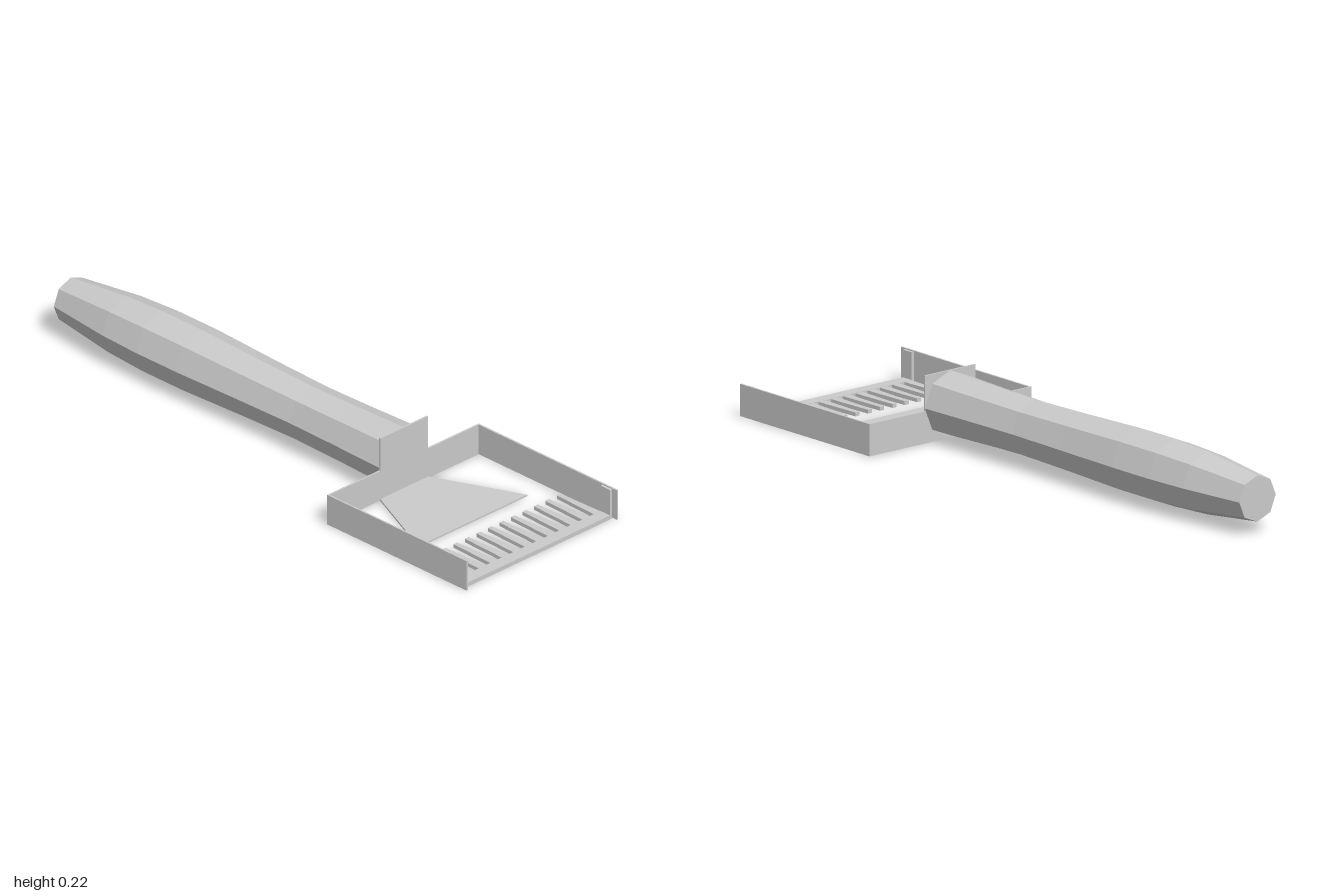
import * as THREE from 'three';

const grey = new THREE.MeshStandardMaterial({ color: 0xcccccc, flatShading: true });

export function createModel() {
  const group = new THREE.Group();
  const add = (name, geometry) => {
    const mesh = new THREE.Mesh(geometry, grey);
    mesh.name = name;
    group.add(mesh);
    return mesh;
  };
  const box = (name, x0, x1, y0, y1, z0, z1) =>
    add(name, new THREE.BoxGeometry(x1 - x0, y1 - y0, z1 - z0))
      .position.set((x0 + x1) / 2, (y0 + y1) / 2, (z0 + z1) / 2);
  const shape = (pts) => new THREE.Shape(pts.map(([x, y]) => new THREE.Vector2(x, y)));
  const extrude = (pts, depth) =>
    new THREE.ExtrudeGeometry(shape(pts), { depth, bevelEnabled: false });
  // flat plate outlined in (x, z), filling y0..y1
  const plate = (name, pts, y0, y1) =>
    add(name, extrude(pts, y1 - y0).rotateX(Math.PI / 2)).position.y = y1;

  // Eight-sided handle, swelling towards the rear: [z, radius]
  const profile = [
    [-1, 0], [-1, 0.072], [-0.77, 0.098], [-0.62, 0.105], [-0.45, 0.105],
    [-0.2, 0.097], [0.02, 0.092], [0.2, 0.095], [0.41, 0.101], [0.41, 0],
  ].map(([z, r]) => new THREE.Vector2(r, z));
  const handle = add('handle', new THREE.LatheGeometry(profile, 8).rotateX(Math.PI / 2));
  handle.position.y = 0.112;

  // Back plate with a raised tab in front of the handle
  const back = add('backPlate', extrude([
    [-0.32, 0.003], [0.32, 0.003], [0.32, 0.103], [0.1, 0.103],
    [0.1, 0.213], [-0.1, 0.213], [-0.1, 0.103], [-0.32, 0.103],
  ], 0.006));
  back.position.z = 0.408;

  // Side walls and the upturned ends of the comb strip
  for (const s of [-1, 1]) {
    const side = s > 0 ? 'left' : 'right';
    const span = (a, b) => (s > 0 ? [a, b] : [-b, -a]);
    box(side + 'Wall', ...span(0.314, 0.32), 0.003, 0.103, 0.41, 1);
    box(side + 'CombEnd', ...span(0.305, 0.314), 0.001, 0.1, 0.94, 0.98);
  }

  // Flared tongue at the bottom of the back plate
  plate('tongue', [[-0.1, 0.41], [0.1, 0.41], [0.23, 0.705], [-0.23, 0.705]], 0.003, 0.008);

  // Comb: front bar with tapered teeth pointing backwards
  box('combBar', -0.306, 0.306, 0, 0.014, 0.94, 0.98);
  for (let i = -6; i <= 6; i++) {
    const x = i * 0.0485;
    plate('combTooth', [
      [x - 0.008, 0.777], [x + 0.008, 0.777], [x + 0.014, 0.942], [x - 0.014, 0.942],
    ], 0.001, 0.013);
  }
  return group;
}
